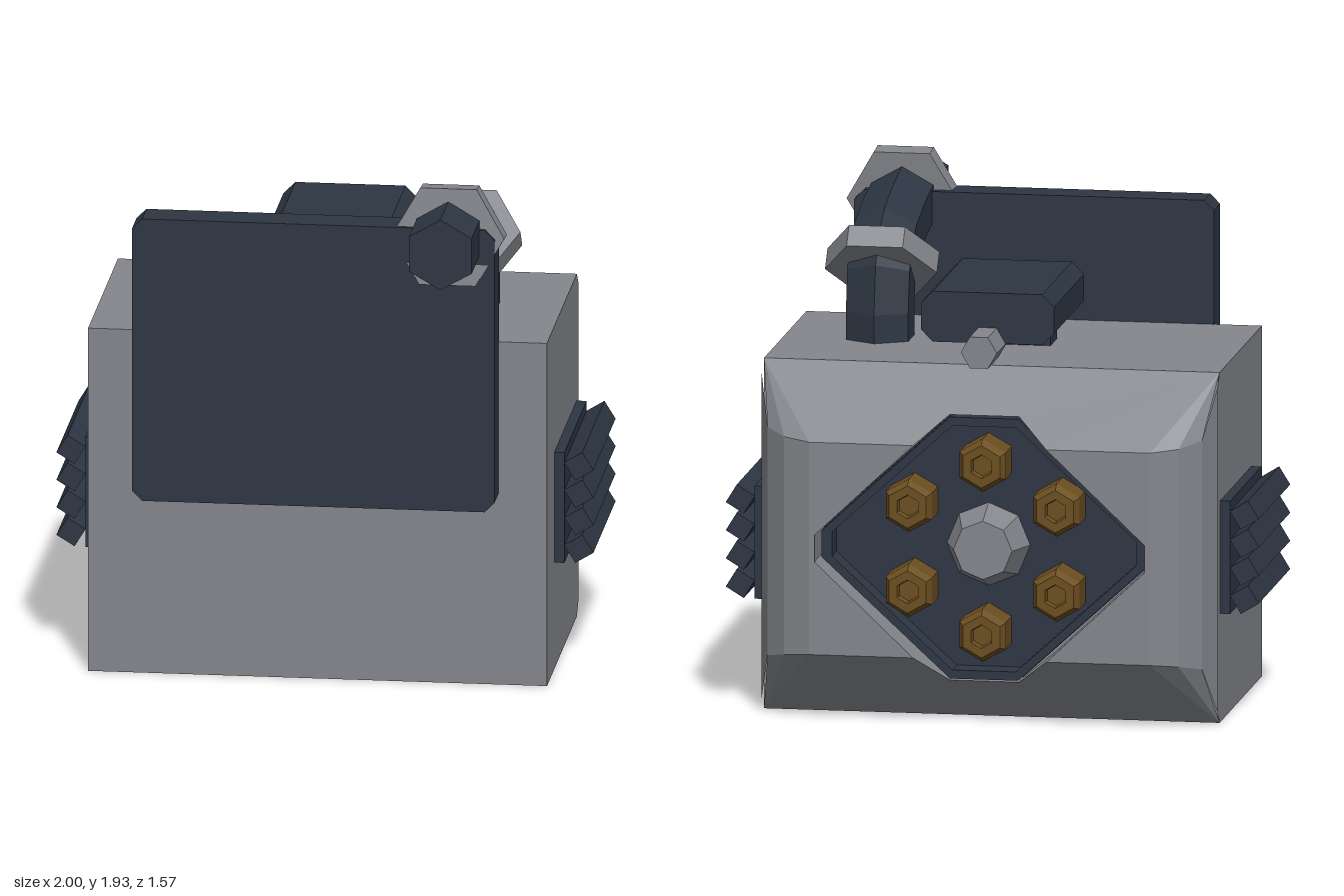
import * as THREE from 'three';

const mat = (name, color) => Object.assign(new THREE.MeshStandardMaterial({ color }), { name, flatShading: true });

export function createModel() {
  const grey = mat('grey metal', 0x84868c);
  const navy = mat('dark navy', 0x2d3643);
  const brown = mat('bronze', 0x6c4e20);

  const root = new THREE.Group();
  root.name = 'backpack';
  const add = (name, geo, material, x = 0, y = 0, z = 0, parent = root) => {
    const m = new THREE.Mesh(geo, material);
    m.name = name;
    m.position.set(x, y, z);
    parent.add(m);
    return m;
  };
  const fromTriangles = (pos) => {
    const g = new THREE.BufferGeometry();
    g.setAttribute('position', new THREE.Float32BufferAttribute(pos, 3));
    g.computeVertexNormals();
    return g;
  };
  const extrude = (pts, depth, hole) => {
    const toV = (p) => p.map(([x, y]) => new THREE.Vector2(x, y));
    const s = new THREE.Shape(toV(pts));
    if (hole) s.holes.push(new THREE.Path(toV(hole)));
    return new THREE.ExtrudeGeometry(s, { depth, bevelEnabled: false });
  };
  const chamferedRect = (w, h, c) => [
    [-w, -h + c], [-w + c, -h], [w - c, -h], [w, -h + c],
    [w, h - c], [w - c, h], [-w + c, h], [-w, h - c],
  ];

  // Body: plain front block and a faceted rear shell with an opening
  const midY = 0.66;
  add('bodyBlock', new THREE.BoxGeometry(1.71, 1.32, 0.93), grey, 0, midY, -0.035);

  // One quarter of the rear shell, y measured from mid height
  const corner = [0.855, 0.66, -0.5];
  const ring = [[0.855, 0.61, -0.55], [0.815, 0.43, -0.655], [0.74, 0.41, -0.73], [0.64, 0.4, -0.77]];
  const ringMid = ring.map(([x, , z]) => [x, 0, z]);
  const rim = [[0, 0.5, -0.66], [0.13, 0.5, -0.66], [0.25, 0.4, -0.77], [0.62, 0.05, -0.77], [0.62, 0, -0.77]];
  const floorZ = -0.55;
  const outer = [
    [corner, [0, 0.66, -0.5], rim[0], rim[1], rim[2], ring[3]],
    [ring[3], rim[2], rim[3], rim[4], ringMid[3]],
    [corner, ring[0], ringMid[0], [0.855, 0, -0.5]],
  ];
  for (let i = 0; i < 3; i++) {
    outer.push([corner, ring[i], ring[i + 1]], [ring[i], ringMid[i], ringMid[i + 1], ring[i + 1]]);
  }
  const inner = [];
  for (let i = 0; i < 4; i++) {
    const back = (p) => [p[0], p[1], floorZ];
    inner.push([rim[i], rim[i + 1], back(rim[i + 1]), back(rim[i])]);
  }
  const pos = [];
  const fan = (poly, sx, sy, inward) => {
    const v = poly.map(([x, y, z]) => new THREE.Vector3(x * sx, y * sy, z));
    for (let i = 1; i < v.length - 1; i++) {
      const [a, b, c] = [v[0], v[i], v[i + 1]];
      const n = b.clone().sub(a).cross(c.clone().sub(a));
      const out = a.clone().add(b).add(c).divideScalar(3);
      out.z = inward ? 0 : out.z + 0.3;
      const order = (n.dot(out) > 0) !== inward ? [a, b, c] : [a, c, b];
      order.forEach((p) => pos.push(p.x, p.y, p.z));
    }
  };
  for (const sx of [1, -1]) for (const sy of [1, -1]) {
    outer.forEach((p) => fan(p, sx, sy, false));
    inner.forEach((p) => fan(p, sx, sy, true));
  }
  add('rearShell', fromTriangles(pos), grey, 0, midY, 0);

  // Dark liner and floor inside the opening
  const octagon = (s) => [
    [0.13, 0.5], [-0.13, 0.5], [-0.62, 0.05], [-0.62, -0.05],
    [-0.13, -0.5], [0.13, -0.5], [0.62, -0.05], [0.62, 0.05],
  ].map(([x, y]) => [x * s, y * s]);
  add('recessFloor', extrude(octagon(0.995), 0.04), navy, 0, midY, -0.57);
  add('recessLiner', extrude(octagon(0.985), 0.11, octagon(0.92)), navy, 0, midY, -0.67);

  // Ring of six nozzles around a central hub
  const nozzle = new THREE.LatheGeometry(
    [[0.1, 0], [0.1, 0.13], [0.08, 0.16], [0.045, 0.16], [0.04, 0.13], [0, 0.13]]
      .map(([x, y]) => new THREE.Vector2(x, y)), 6);
  nozzle.rotateX(-Math.PI / 2);
  for (let i = 0; i < 6; i++) {
    const a = Math.PI / 6 + (i * Math.PI) / 3;
    add('nozzle', nozzle, brown, 0.32 * Math.cos(a), midY + 0.32 * Math.sin(a), -0.57);
  }
  const hub = new THREE.CylinderGeometry(0.11, 0.16, 0.14, 8);
  hub.rotateX(-Math.PI / 2);
  add('centralHub', hub, grey, 0, midY, -0.63);

  // Side vents with four tilted slats each
  for (const s of [1, -1]) {
    const vent = new THREE.Group();
    vent.name = s > 0 ? 'leftVent' : 'rightVent';
    root.add(vent);
    add('ventPlate', new THREE.BoxGeometry(0.045, 0.425, 0.69), navy, s * 0.87, 0.622, -0.145, vent);
    for (let i = 0; i < 4; i++) {
      const slat = add('slat', new THREE.BoxGeometry(0.079, 0.079, 0.69), navy,
        s * 0.946, 0.783 - i * 0.106, -0.145, vent);
      slat.rotation.z = s * 0.55;
    }
  }

  // Front panel
  add('frontPanel', extrude(chamferedRect(0.675, 0.543, 0.037), 0.135), navy, 0, 1.243, 0.427);

  // Top box on a small support, with a bolt at the rear
  add('topBox', extrude(chamferedRect(0.25, 0.095, 0.045), 0.655), navy, 0, 1.515, -0.595);
  add('boxSupport', new THREE.BoxGeometry(0.3, 0.14, 0.14), navy, 0, 1.37, -0.02);
  const bolt = new THREE.CylinderGeometry(0.068, 0.068, 0.23, 6);
  bolt.rotateY(Math.PI / 6).rotateX(Math.PI / 2);
  add('rearBolt', bolt, grey, 0, 1.42, -0.67);

  // Bent hexagonal pipe: rings along a path of [z, y, tilt from vertical]
  const path = [
    [-0.028, 1.28, 0], [-0.028, 1.42, 0.05], [-0.005, 1.55, 0.45], [0.04, 1.615, 0.85],
    [0.11, 1.66, 1.25], [0.3, 1.71, 1.36], [0.54, 1.75, 1.5], [0.785, 1.75, Math.PI / 2],
  ];
  const rings = path.map(([z, y, t]) => Array.from({ length: 6 }, (_, k) => {
    const a = (k * Math.PI) / 3, r = 0.135;
    return [r * Math.sin(a), y + r * Math.cos(a) * Math.sin(t), z - r * Math.cos(a) * Math.cos(t)];
  }));
  const tube = [];
  for (let i = 0; i < rings.length - 1; i++) for (let k = 0; k < 6; k++) {
    const j = (k + 1) % 6;
    const [a, b, c, d] = [rings[i][k], rings[i][j], rings[i + 1][j], rings[i + 1][k]];
    tube.push(...a, ...d, ...c, ...a, ...c, ...b);
  }
  const end = rings[rings.length - 1];
  for (let k = 1; k < 5; k++) tube.push(...end[0], ...end[k + 1], ...end[k]);
  const pipe = add('pipe', fromTriangles(tube), navy, 0.5, 0, 0);
  pipe.material = navy;

  // Hexagonal clamps around the pipe
  for (const [y, z, tilt] of [[1.748, 0.508, 1.47], [1.6, 0.018, 0.7]]) {
    const clamp = new THREE.CylinderGeometry(0.21, 0.21, 0.088, 6);
    clamp.rotateY(Math.PI / 6).rotateX(tilt);
    add('pipeClamp', clamp, grey, 0.5, y, z);
  }

  // Faces of the pipe show from both sides at its open foot
  navy.side = THREE.DoubleSide;
  return root;
}
